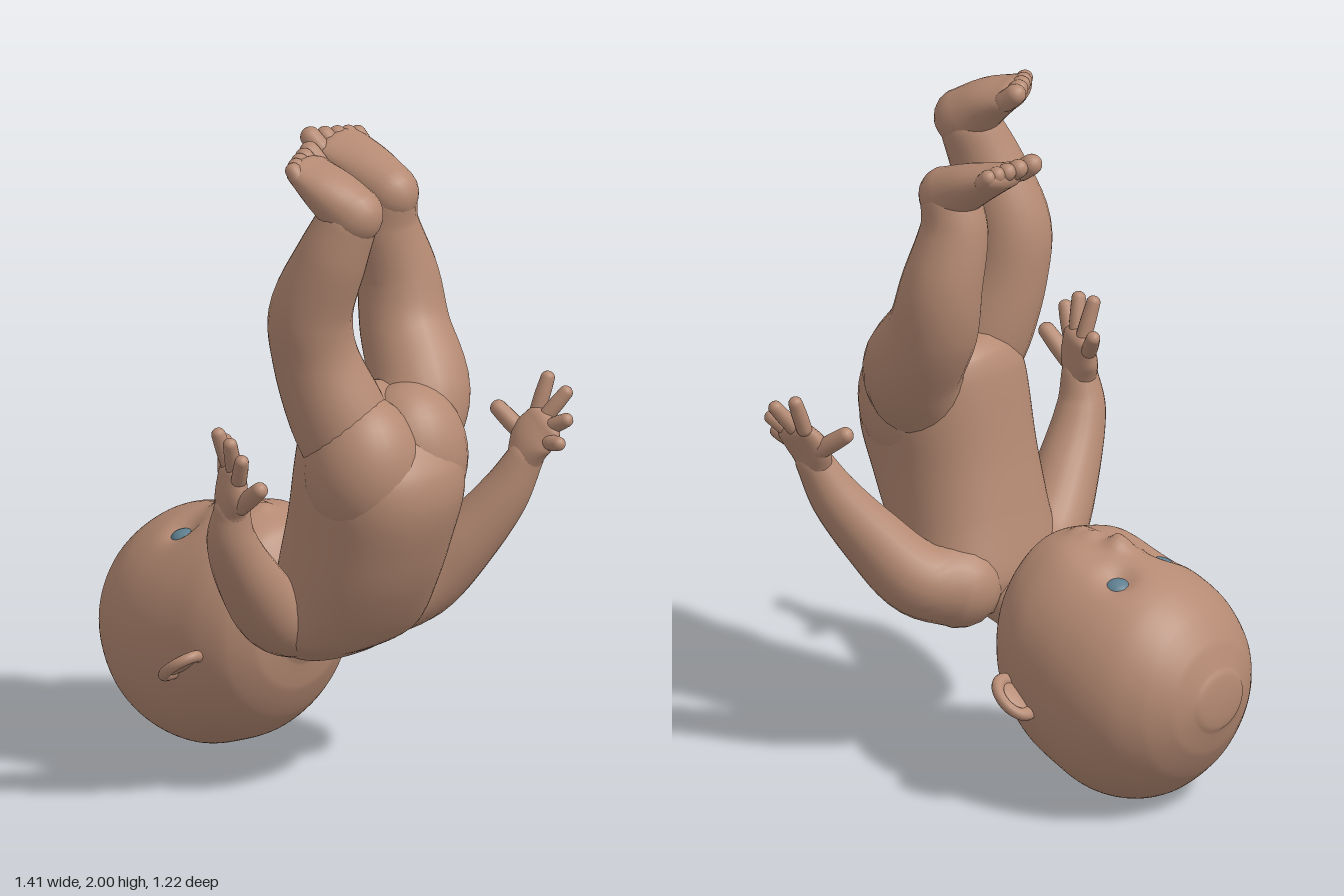
import * as THREE from 'three';

const V = (x, y, z) => new THREE.Vector3(x, y, z);
const skin = new THREE.MeshStandardMaterial({ color: 0xb58a73 });
skin.name = 'skin';
const eyeBlue = new THREE.MeshStandardMaterial({ color: 0x5f7f90 });
eyeBlue.name = 'eyeBlue';

// Body frame: side runs from one ear to the other, crown points out of the top of the head
const side = V(0.6, 0, -0.8);
const crown = V(-0.8, 0, -0.6);
const spine = V(0.18, 0.96, 0.17).normalize();
const headCentre = V(-0.34, 0, -0.25);

// Smooth closed loft; each station is [x, y, z, radius along width, radius across].
// axis fixes the ring planes, box below 1 makes the rings squarer.
function loft(stations, width, { cols = 24, steps = 6, cap = 1, axis = null, box = 1 } = {}) {
  const path = new THREE.CatmullRomCurve3(stations.map(p => V(p[0], p[1], p[2])));
  const size = new THREE.CatmullRomCurve3(
    stations.map((p, i) => V(p[3], p[4] ?? p[3], i * 0.1)), false, 'catmullrom', 0.5);
  const rows = [];
  const n = (stations.length - 1) * steps;
  const addRow = (t, angle, dir) => {
    const T = axis ?? path.getTangent(t), r = size.getPoint(t);
    const A = width.clone().addScaledVector(T, -width.dot(T)).normalize();
    const B = T.clone().cross(A);
    const depth = Math.min(r.x, r.y) * cap * Math.sin(angle) * dir;
    const k = Math.max(Math.cos(angle), 0.001);
    rows.push({ c: path.getPoint(t).addScaledVector(T, depth), A: A.multiplyScalar(r.x * k), B: B.multiplyScalar(r.y * k) });
  };
  for (let k = 5; k > 0; k--) addRow(0, k * Math.PI / 10, -1);
  for (let i = 0; i <= n; i++) addRow(i / n, 0, 1);
  for (let k = 1; k <= 5; k++) addRow(1, k * Math.PI / 10, 1);

  const squared = q => Math.sign(q) * Math.abs(q) ** box;
  const pos = [], index = [];
  rows.forEach(({ c, A, B }, i) => {
    for (let j = 0; j < cols; j++) {
      const a = j / cols * Math.PI * 2;
      const p = c.clone().addScaledVector(A, squared(Math.cos(a))).addScaledVector(B, squared(Math.sin(a)));
      pos.push(p.x, p.y, p.z);
      if (i === rows.length - 1) continue;
      const a0 = i * cols + j, b0 = i * cols + (j + 1) % cols;
      index.push(a0, b0, a0 + cols, b0, b0 + cols, a0 + cols);
    }
  });
  const g = new THREE.BufferGeometry();
  g.setAttribute('position', new THREE.Float32BufferAttribute(pos, 3));
  g.setIndex(index);
  g.computeVertexNormals();
  return g;
}

function add(parent, name, geometry, material = skin) {
  const m = new THREE.Mesh(geometry, material);
  m.name = name;
  parent.add(m);
  return m;
}

function ball(parent, name, c, rx, ry, rz, material = skin) {
  const m = add(parent, name, new THREE.SphereGeometry(1, 28, 20), material);
  m.position.copy(c);
  m.scale.set(rx, ry, rz);
}

// Head: stations [along crown, centre height, half width, half height]
function buildHead(root) {
  const head = new THREE.Group();
  head.name = 'head';
  const stations = [
    [-0.345, 0.455, 0.1, 0.12], [-0.325, 0.45, 0.18, 0.2], [-0.27, 0.438, 0.25, 0.287],
    [-0.19, 0.418, 0.292, 0.337], [-0.1, 0.395, 0.312, 0.357], [0, 0.37, 0.325, 0.364],
    [0.1, 0.36, 0.322, 0.35], [0.19, 0.36, 0.298, 0.315], [0.27, 0.365, 0.245, 0.25],
    [0.325, 0.37, 0.175, 0.168], [0.353, 0.37, 0.105, 0.092],
  ].map(([h, y, w, t]) => [headCentre.x + crown.x * h, y, headCentre.z + crown.z * h, w, t]);
  const g = loft(stations, side, { cols: 96, steps: 8, cap: 0.16, axis: crown });

  // Face relief: [along crown, sideways, height, spread]
  const relief = [
    [0.05, 0.09, -0.035, 0.045], [0.015, -0.14, -0.035, 0.045],
    [-0.035, -0.02, 0.04, 0.034], [-0.125, 0.0, 0.02, 0.03], [-0.165, 0.0, 0.018, 0.03],
    [-0.145, 0.0, -0.012, 0.02], [-0.12, 0.13, 0.015, 0.07], [-0.12, -0.13, 0.015, 0.07],
  ];
  const p = g.attributes.position, v = V(0, 0, 0);
  for (let i = 0; i < p.count; i++) {
    v.fromBufferAttribute(p, i);
    if (v.y < 0.5) continue;
    const d = v.clone().sub(headCentre).setY(0);
    const h = d.dot(crown), s = d.dot(side);
    for (const [rh, rs, amp, spread] of relief)
      v.y += amp * Math.exp(-((h - rh) ** 2 + (s - rs) ** 2) / spread ** 2);
    p.setY(i, v.y);
  }
  g.computeVertexNormals();
  add(head, 'skull', g);

  // Eyes rest in the sockets
  for (const [name, x, z] of [['leftEye', -0.325, -0.35], ['rightEye', -0.435, -0.148]]) {
    let best = 1, y = 0.66;
    for (let i = 0; i < p.count; i++) {
      const d = Math.hypot(p.getX(i) - x, p.getZ(i) - z);
      if (p.getY(i) > 0.5 && d < best) { best = d; y = p.getY(i); }
    }
    ball(head, name, V(x, y - 0.016, z), 0.045, 0.034, 0.045, eyeBlue);
  }

  // Ears: cupped disc with a rounded rim
  for (const e of [-1, 1]) {
    const ear = new THREE.Group();
    ear.name = e > 0 ? 'leftEar' : 'rightEar';
    const long = crown.clone().multiplyScalar(0.78).add(V(0, -0.62, 0)).normalize();
    const out = side.clone().multiplyScalar(e);
    const m = new THREE.Matrix4().makeBasis(long, out, long.clone().cross(out));
    ear.quaternion.setFromRotationMatrix(m);
    ear.position.copy(headCentre).addScaledVector(crown, -0.155).addScaledVector(side, e * 0.31).setY(0.345);
    add(ear, 'earRim', new THREE.TorusGeometry(0.052, 0.017, 12, 32)).scale.set(1.2, 0.95, 1);
    ball(ear, 'earBowl', V(0, 0, 0), 0.06, 0.048, 0.013);
    head.add(ear);
  }
  root.add(head);
}

// Leg with foot and a row of toes; inner is the sign of the width axis on the big toe side
function buildLeg(root, name, leg, foot, width, inner) {
  const g = new THREE.Group();
  g.name = name;
  add(g, 'shin', loft(leg, side));
  add(g, 'foot', loft(foot, width));
  const end = foot[foot.length - 1], prev = foot[foot.length - 2];
  const tip = V(end[0], end[1], end[2]);
  const dir = tip.clone().sub(V(prev[0], prev[1], prev[2])).normalize();
  for (let i = 0; i < 5; i++) {
    const r = [0.031, 0.028, 0.027, 0.026, 0.024][i];
    const off = [0.066, 0.022, -0.015, -0.048, -0.075][i] * inner;
    const base = tip.clone().addScaledVector(width, off);
    const c = base.clone().addScaledVector(dir, 0.04 - i * 0.005).add(V(0, 0.01, 0));
    add(g, 'toe' + (i + 1), loft([[...base.toArray(), r], [...c.toArray(), r]], width, { cols: 14, steps: 3 }));
  }
  root.add(g);
}

// Arm, palm and fingers; each finger is [base, tip]
function buildArm(root, name, arm, palm, width, fingers) {
  const g = new THREE.Group();
  g.name = name;
  add(g, 'arm', loft(arm, side));
  add(g, 'palm', loft(palm, width));
  fingers.forEach(([a, b], i) => {
    const mid = a.map((q, k) => (q + b[k]) / 2);
    const r = i ? 0.023 : 0.027;
    const st = [[...a, r], [...mid, r], [...b, r * 0.9]];
    add(g, i ? 'finger' + i : 'thumb', loft(st, width, { cols: 14, steps: 4, cap: 0.9 }));
  });
  root.add(g);
}

export function createModel() {
  const root = new THREE.Group();
  root.name = 'babyDoll';

  buildHead(root);
  add(root, 'neck', loft([[0.03, 0.51, 0.03, 0.1], [-0.05, 0.47, -0.04, 0.09], [-0.13, 0.44, -0.1, 0.1]], side));

  // Torso from shoulders up to hips
  add(root, 'torso', loft([
    [0.045, 0.455, 0.055, 0.2, 0.1], [0.075, 0.53, 0.085, 0.25, 0.165], [0.13, 0.7, 0.145, 0.24, 0.205],
    [0.17, 0.85, 0.18, 0.235, 0.225], [0.2, 1.0, 0.2, 0.24, 0.237], [0.205, 1.1, 0.2, 0.228, 0.224],
    [0.2, 1.17, 0.185, 0.19, 0.185], [0.195, 1.215, 0.175, 0.135, 0.13], [0.195, 1.235, 0.17, 0.08, 0.08],
  ], side, { cols: 64, cap: 0.25, box: 0.88, axis: spine }));
  for (const e of [-1, 1])
    ball(root, e > 0 ? 'leftButtock' : 'rightButtock',
      V(0.222, 1.05, 0.218).addScaledVector(side, e * 0.09), 0.172, 0.22, 0.172);

  buildLeg(root, 'rightLeg', [
    [0.15, 1.08, 0.27, 0.14], [0.09, 1.21, 0.275, 0.142], [0.03, 1.38, 0.29, 0.125],
    [0.02, 1.52, 0.31, 0.122], [0.085, 1.7, 0.335, 0.105], [0.13, 1.81, 0.335, 0.09],
  ], [
    [0.152, 1.838, 0.34, 0.085, 0.088], [0.08, 1.897, 0.318, 0.095, 0.07], [0.01, 1.943, 0.28, 0.095, 0.043],
  ], V(0.25, 0, -0.97), 1);
  buildLeg(root, 'leftLeg', [
    [0.265, 1.08, 0.09, 0.14], [0.28, 1.2, 0.005, 0.148], [0.22, 1.36, -0.085, 0.132],
    [0.195, 1.5, -0.112, 0.12], [0.16, 1.67, -0.09, 0.1], [0.17, 1.76, -0.075, 0.087],
  ], [
    [0.18, 1.77, -0.07, 0.083, 0.085], [0.1, 1.825, -0.12, 0.088, 0.064], [0.015, 1.872, -0.165, 0.09, 0.04],
  ], V(0.75, 0, -0.66), -1);

  buildArm(root, 'rightArm', [
    [0, 0.54, 0.12, 0.125], [-0.085, 0.57, 0.24, 0.112], [-0.15, 0.74, 0.4, 0.092],
    [-0.18, 0.88, 0.48, 0.072], [-0.175, 0.97, 0.5, 0.054],
  ], [
    [-0.175, 0.96, 0.5, 0.054, 0.048], [-0.175, 1.02, 0.5, 0.08, 0.043], [-0.175, 1.08, 0.49, 0.075, 0.034],
  ], V(0.5, 0, 0.86), [
    [[-0.14, 1.0, 0.54], [-0.075, 1.07, 0.59]],
    [[-0.145, 1.08, 0.545], [-0.13, 1.15, 0.58]],
    [[-0.165, 1.09, 0.51], [-0.17, 1.19, 0.55]],
    [[-0.185, 1.09, 0.475], [-0.215, 1.2, 0.495]],
    [[-0.205, 1.07, 0.44], [-0.22, 1.14, 0.37]],
  ]);
  buildArm(root, 'leftArm', [
    [0.15, 0.55, -0.06, 0.13], [0.265, 0.585, -0.105, 0.112], [0.395, 0.715, -0.122, 0.093],
    [0.5, 0.85, -0.14, 0.074], [0.56, 0.96, -0.15, 0.054],
  ], [
    [0.555, 0.95, -0.15, 0.054, 0.048], [0.575, 1.01, -0.16, 0.08, 0.043], [0.61, 1.06, -0.17, 0.075, 0.034],
  ], V(0.5, -0.5, 0.7), [
    [[0.54, 1.02, -0.2], [0.465, 1.08, -0.23]],
    [[0.585, 1.09, -0.215], [0.61, 1.18, -0.235]],
    [[0.615, 1.08, -0.185], [0.67, 1.15, -0.2]],
    [[0.635, 1.06, -0.15], [0.685, 1.09, -0.13]],
    [[0.63, 1.02, -0.125], [0.67, 1.03, -0.09]],
  ]);

  return root;
}
